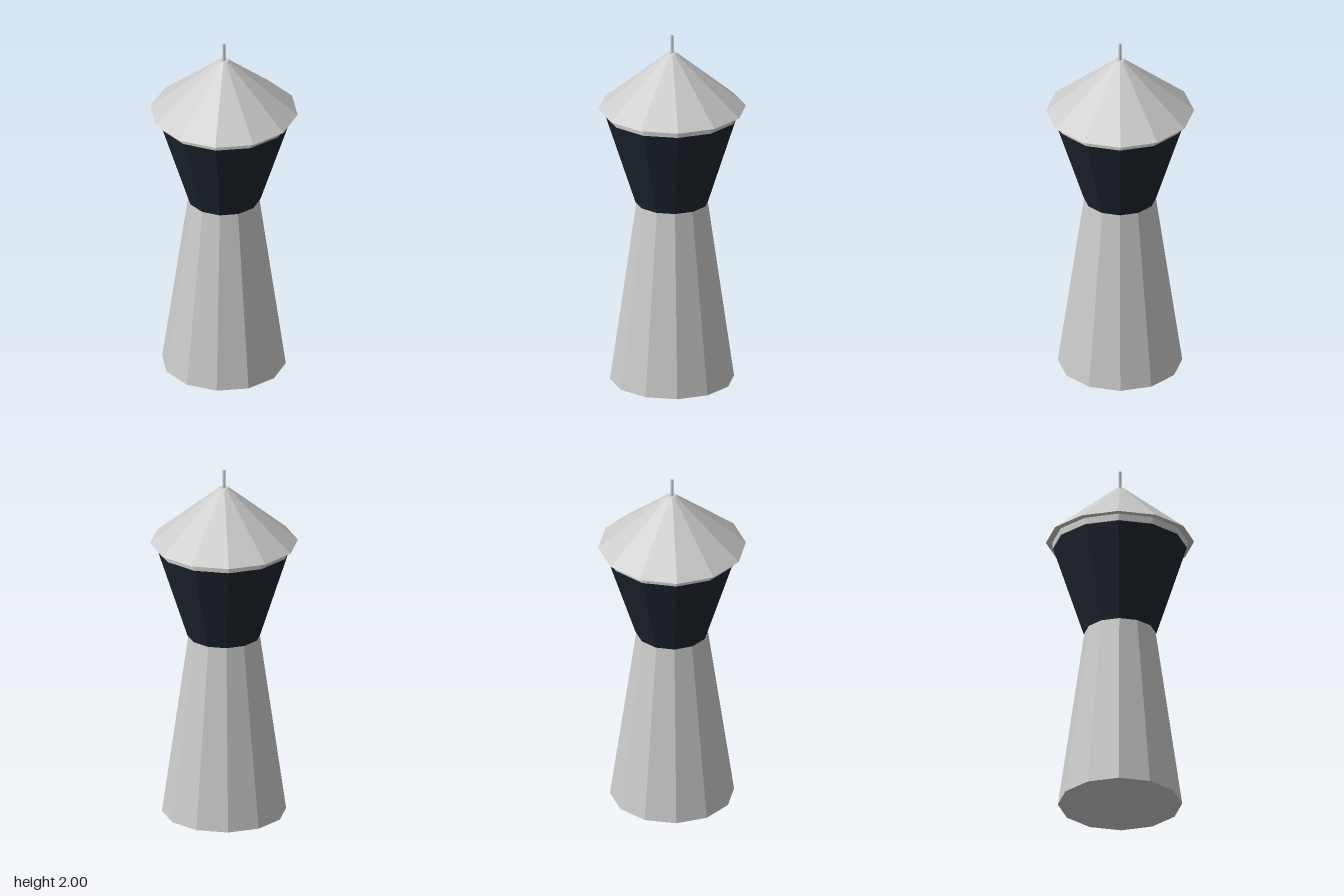
import * as THREE from 'three';

const grey = new THREE.MeshStandardMaterial({ color: 0xcccccc, flatShading: true });
const glass = new THREE.MeshStandardMaterial({ color: 0x1e262f, flatShading: true });

// Faceted tapered drum standing between heights y0 and y1
function drum(name, rBottom, rTop, y0, y1, material = grey, sides = 12) {
  const mesh = new THREE.Mesh(new THREE.CylinderGeometry(rTop, rBottom, y1 - y0, sides), material);
  mesh.name = name;
  mesh.position.y = (y0 + y1) / 2;
  return mesh;
}

export function createModel() {
  const group = new THREE.Group();
  group.name = 'controlTower';
  group.add(
    drum('towerShaft', 0.34, 0.195, 0, 1.03),
    // Flared glazed cabin, widening upwards
    drum('cabinWindows', 0.2, 0.365, 1.03, 1.54, glass),
    drum('cabinRim', 0.37, 0.37, 1.54, 1.578),
    // Overhanging roof with a small flat top
    drum('roof', 0.405, 0.025, 1.578, 1.897),
    drum('antenna', 0.008, 0.008, 1.897, 2, grey, 6),
  );
  return group;
}
